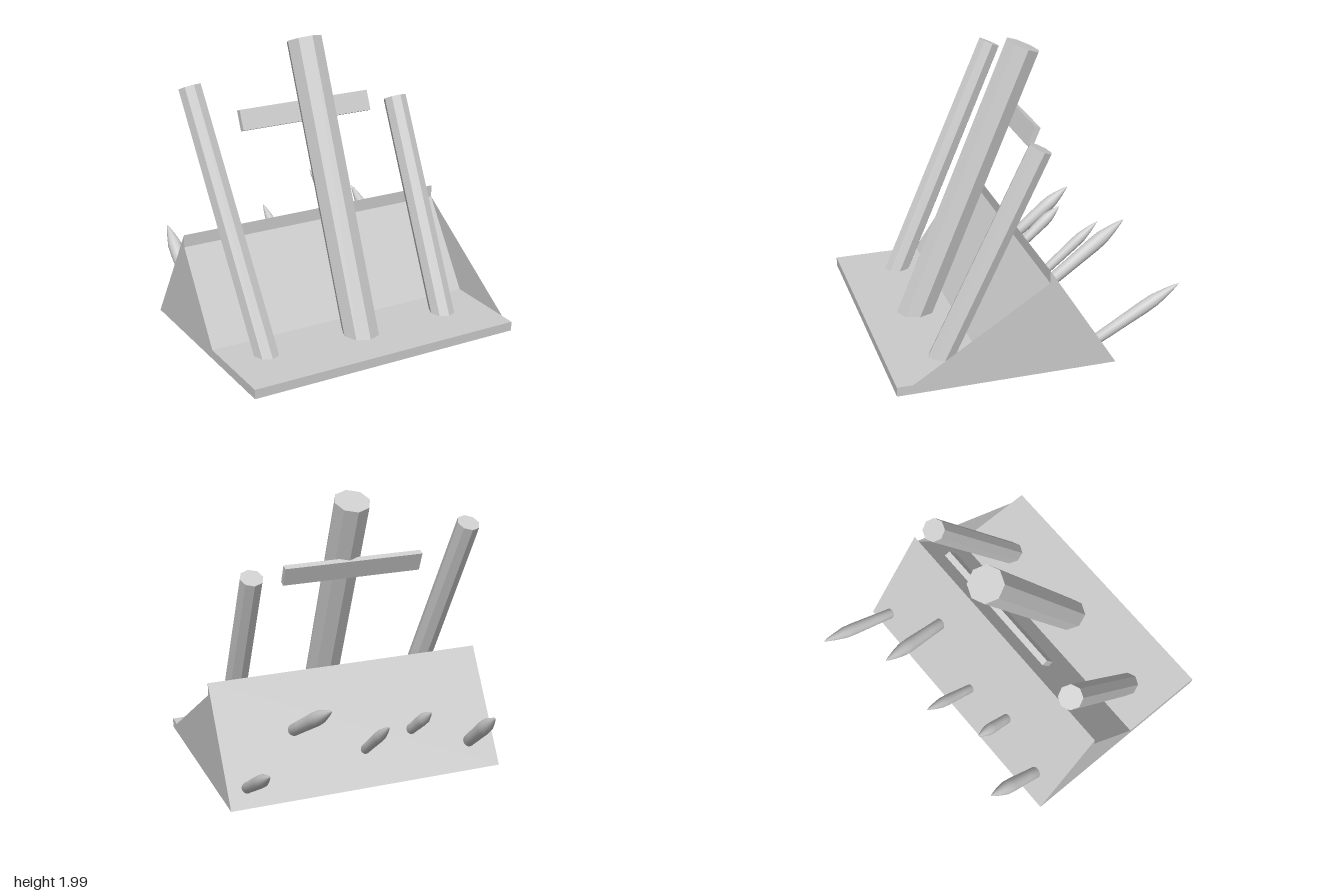
import * as THREE from 'three';

const flat = new THREE.MeshStandardMaterial({ color: 0xcccccc, flatShading: true, side: THREE.DoubleSide });
const smooth = new THREE.MeshStandardMaterial({ color: 0xcccccc, side: THREE.DoubleSide });
const UP = new THREE.Vector3(0, 1, 0);
const HALF = 0.91; // half width of the base

function add(group, name, geometry, material) {
  const mesh = new THREE.Mesh(geometry, material);
  mesh.name = name;
  group.add(mesh);
  return mesh;
}

// Places a y-aligned mesh so its axis runs along from -> to
function alignBetween(mesh, from, to) {
  mesh.position.copy(from).lerp(to, 0.5);
  mesh.quaternion.setFromUnitVectors(UP, to.clone().sub(from).normalize());
}

// Folded sheet spanning the base width, from a [z, y] path
function foldedSheet(path) {
  const positions = [];
  for (let i = 0; i < path.length - 1; i++) {
    const [z0, y0] = path[i];
    const [z1, y1] = path[i + 1];
    positions.push(
      -HALF, y0, z0, -HALF, y1, z1, HALF, y1, z1,
      -HALF, y0, z0, HALF, y1, z1, HALF, y0, z0
    );
  }
  const geometry = new THREE.BufferGeometry();
  geometry.setAttribute('position', new THREE.Float32BufferAttribute(positions, 3));
  geometry.computeVertexNormals();
  return geometry;
}

// Flat end wall from a [z, y] outline
function endWall(outline) {
  const shape = new THREE.Shape(outline.map(([z, y]) => new THREE.Vector2(z, y)));
  return new THREE.ShapeGeometry(shape).rotateY(-Math.PI / 2);
}

// Slim stake with a pointed, slightly rounded tip
function stakeGeometry(radius, length) {
  const profile = [
    [0, 0], [0.82, 0], [0.9, 0.3], [1, 0.6], [0.95, 0.72], [0.6, 0.85], [0.25, 0.95], [0, 1]
  ].map(([r, t]) => new THREE.Vector2(r * radius, (t - 0.5) * length));
  return new THREE.LatheGeometry(profile, 16);
}

export function createModel() {
  const model = new THREE.Group();
  model.name = 'barricade';

  // Hollow base, open underneath: sloped back, ridge, inner slope, floor, front lip
  const path = [[-0.46, 0.18], [-0.03, 0.86], [-0.03, 0.78], [0.34, 0.24], [0.91, 0.24], [0.91, 0.18]];
  add(model, 'baseShell', foldedSheet(path), flat);

  // The right end follows the section; the left end is a full gusset
  add(model, 'rightEndWall', endWall(path), flat).position.x = -HALF;
  const gusset = path.map(([z, y], i) => (i === 3 ? [0.81, y] : [z, y]));
  add(model, 'leftEndGusset', endWall(gusset), flat).position.x = HALF;

  // Leaning octagonal posts: bottom centre, top centre, radii
  const posts = [
    ['centrePost', [0, 0.055, 0.645], [0, 1.957, -0.15], 0.115, 0.115],
    ['rightPost', [-0.63, 0.06, 0.62], [-0.777, 1.75, -0.17], 0.08, 0.075],
    ['leftPost', [0.615, 0.06, 0.645], [0.62, 1.515, -0.06], 0.08, 0.075]
  ];
  for (const [name, bottom, top, rBottom, rTop] of posts) {
    const from = new THREE.Vector3(...bottom);
    const to = new THREE.Vector3(...top);
    const geometry = new THREE.CylinderGeometry(rTop, rBottom, from.distanceTo(to), 8);
    alignBetween(add(model, name, geometry, flat), from, to);
  }

  // Thin crossbar behind the centre post
  const bar = add(model, 'crossbar', new THREE.BoxGeometry(0.91, 0.13, 0.038), flat);
  bar.position.set(-0.03, 1.515, -0.083);
  bar.rotation.x = -0.396;

  // Pointed stakes out of the back: entry point, tip, radius
  const stakes = [
    [[-0.735, 0.34, -0.36], [-0.725, 0.65, -0.73], 0.046],
    [[-0.355, 0.455, -0.29], [-0.375, 0.67, -0.545], 0.038],
    [[-0.02, 0.385, -0.33], [-0.03, 0.685, -0.69], 0.035],
    [[0.42, 0.55, -0.23], [0.35, 0.86, -0.715], 0.046],
    [[0.785, 0.29, -0.395], [0.805, 0.6, -0.91], 0.041]
  ];
  stakes.forEach(([entry, tipPoint, radius], i) => {
    const tip = new THREE.Vector3(...tipPoint);
    const root = new THREE.Vector3(...entry);
    // Sink the root a little into the base
    root.addScaledVector(tip.clone().sub(root).normalize(), -0.06);
    const geometry = stakeGeometry(radius, root.distanceTo(tip));
    alignBetween(add(model, `stake${i + 1}`, geometry, smooth), root, tip);
  });

  return model;
}
